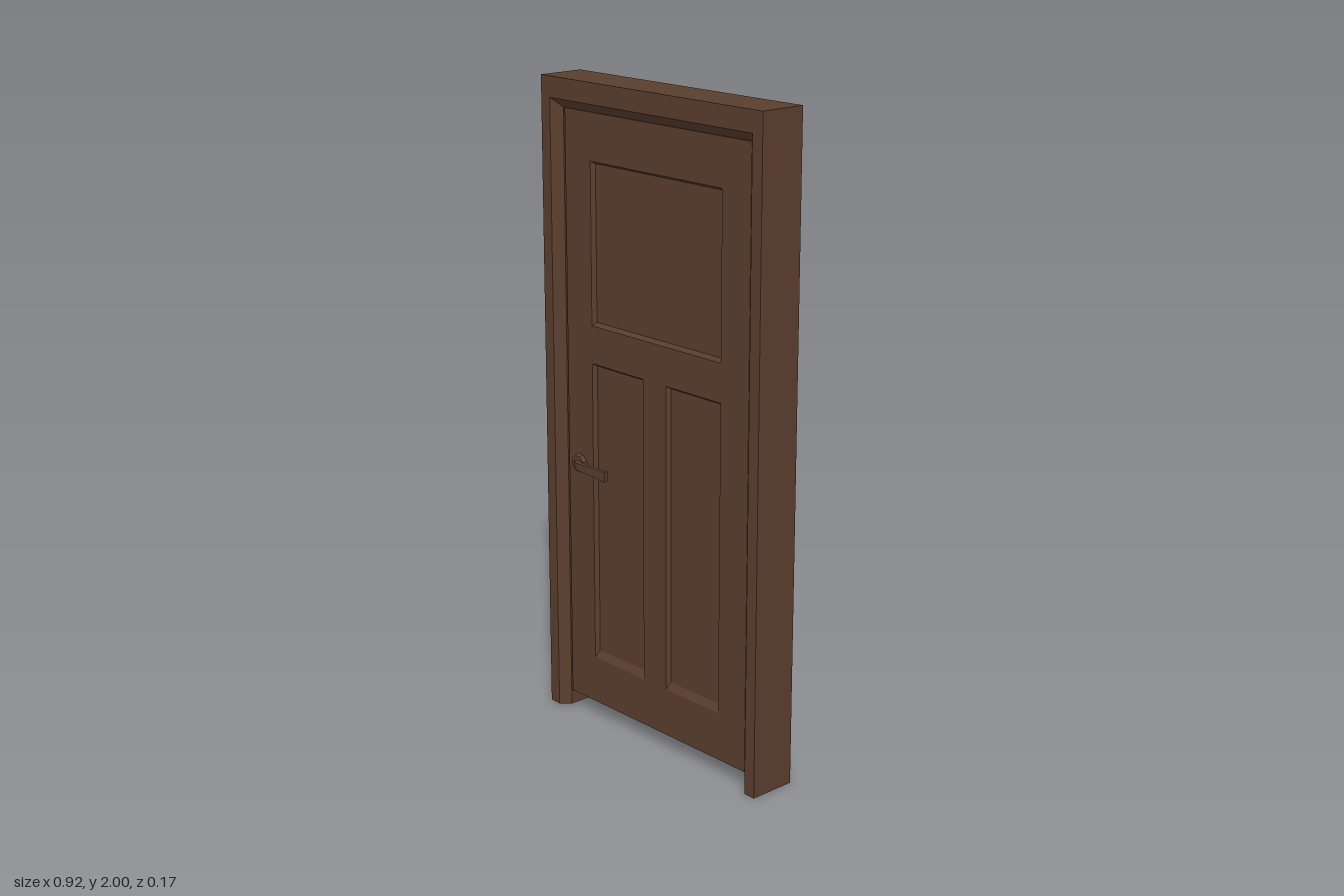
import * as THREE from 'three';

const HALF_W = 0.462, HEIGHT = 2;
const DOOR = { x: 0.391, bottom: 0.05, top: 1.908, z: 0.047 };
const RECESS = 0.013;

// Collects flat quads, corners counter-clockwise as seen from outside
function quadMesh(name, material, quads) {
  const pos = [];
  for (const [a, b, c, d] of quads) pos.push(...a, ...b, ...c, ...a, ...c, ...d);
  const g = new THREE.BufferGeometry();
  g.setAttribute('position', new THREE.Float32BufferAttribute(pos, 3));
  g.computeVertexNormals();
  return named(name, g, material);
}

function named(name, geometry, material) {
  const mesh = new THREE.Mesh(geometry, material);
  mesh.name = name;
  return mesh;
}

// Jambs and lintel: one chamfered profile swept around the opening with mitred corners
function makeFrame(material) {
  const profile = [[0, -0.075], [0, 0.075], [0.039, 0.075], [0.067, 0.047], [0.067, -0.047], [0.039, -0.075]];
  const topY = t => HEIGHT - (t > 0 ? t + 0.024 : 0);
  const rings = [[-1, false], [-1, true], [1, true], [1, false]].map(([side, top]) =>
    profile.map(([t, z]) => [side * (HALF_W - t), top ? topY(t) : 0, z]));
  const quads = [];
  for (let i = 0; i < 3; i++) {
    profile.forEach((_, j) => {
      const k = (j + 1) % profile.length;
      quads.push([rings[i][j], rings[i][k], rings[i + 1][k], rings[i + 1][j]]);
    });
  }
  // Feet of the jambs
  const l = rings[0], r = rings[3];
  quads.push([l[3], l[2], l[1], l[0]], [l[5], l[4], l[3], l[0]]);
  quads.push([r[0], r[1], r[2], r[3]], [r[0], r[3], r[4], r[5]]);
  return quadMesh('doorFrame', material, quads);
}

// One side of the door: rails and stiles with sunken, bevelled panels
function makeFace(name, panels, material) {
  const group = new THREE.Group();
  group.name = name;
  const rect = (Type, x0, y0, x1, y1) => new Type(
    [[x0, y0], [x1, y0], [x1, y1], [x0, y1]].map(p => new THREE.Vector2(...p)));
  const shape = rect(THREE.Shape, -DOOR.x, DOOR.bottom, DOOR.x, DOOR.top);
  const quads = [];
  for (const [x0, y0, x1, y1, sill] of panels) {
    shape.holes.push(rect(THREE.Path, x0, y0, x1, y1));
    const b = 0.008, z = DOOR.z, zi = z - RECESS;
    const outer = [[x0, y0, z], [x1, y0, z], [x1, y1, z], [x0, y1, z]];
    const inner = [[x0 + b, y0 + sill, zi], [x1 - b, y0 + sill, zi], [x1 - b, y1 - b, zi], [x0 + b, y1 - b, zi]];
    quads.push(inner);
    for (let i = 0; i < 4; i++) {
      const k = (i + 1) % 4;
      quads.push([outer[i], outer[k], inner[k], inner[i]]);
    }
  }
  const rails = named('railsAndStiles', new THREE.ShapeGeometry(shape), material);
  rails.position.z = DOOR.z;
  group.add(rails, quadMesh('sunkenPanels', material, quads));
  return group;
}

// Four narrow edges of the door slab
function makeEdges(material) {
  const { x, bottom, top, z } = DOOR;
  const f = [[-x, bottom, z], [x, bottom, z], [x, top, z], [-x, top, z]];
  const back = f.map(p => [p[0], p[1], -z]);
  return quadMesh('doorEdges', material, f.map((_, i) => {
    const k = (i + 1) % 4;
    return [f[k], f[i], back[i], back[k]];
  }));
}

// Octagonal rose and bent lever that widens toward its tip
function makeHandle(name, material) {
  const group = new THREE.Group();
  group.name = name;
  const rose = new THREE.CylinderGeometry(0.026, 0.032, 0.012, 8);
  rose.rotateY(Math.PI / 8);
  rose.rotateX(Math.PI / 2);
  const roseMesh = named('rose', rose.toNonIndexed(), material);
  roseMesh.geometry.computeVertexNormals();
  roseMesh.position.set(-0.339, 0, DOOR.z + 0.006);

  const outline = [[-0.35, 0.047], [-0.328, 0.047], [-0.328, 0.06], [-0.31, 0.067], [-0.24, 0.068], [-0.184, 0.072],
    [-0.184, 0.084], [-0.24, 0.081], [-0.31, 0.081], [-0.325, 0.077], [-0.35, 0.064]];
  const lever = new THREE.ExtrudeGeometry(new THREE.Shape(outline.map(p => new THREE.Vector2(...p))),
    { depth: 2, bevelEnabled: false });
  lever.translate(0, 0, -1);
  lever.rotateX(Math.PI / 2);
  const p = lever.attributes.position;
  for (let i = 0; i < p.count; i++) {
    const along = (p.getX(i) + 0.35) / 0.166;
    p.setY(i, p.getY(i) * (0.01 + 0.006 * along));
  }
  lever.computeVertexNormals();
  group.add(roseMesh, named('lever', lever, material));
  group.position.y = 0.825;
  return group;
}

export function createModel() {
  const wood = new THREE.MeshStandardMaterial({ color: 0x5a3e2e });
  wood.name = 'dark brown wood';

  const model = new THREE.Group();
  model.name = 'panelDoor';
  model.add(makeFrame(wood));

  const lower = [[-0.278, 0.2, -0.05, 1.153, 0.022], [0.05, 0.2, 0.278, 1.153, 0.022]];
  const upperFront = [[-0.278, 1.27, 0.278, 1.765, 0.01]];
  const upperBack = [[-0.278, 1.27, -0.05, 1.765, 0.01], [0.05, 1.27, 0.278, 1.765, 0.01]];

  const door = new THREE.Group();
  door.name = 'door';
  door.position.x = 0.002;
  const back = makeFace('backFace', [...lower, ...upperBack], wood);
  back.rotation.y = Math.PI;
  door.add(makeFace('frontFace', [...lower, ...upperFront], wood), back, makeEdges(wood));

  // Matching handles on both sides
  const backHandle = makeHandle('backHandle', wood);
  backHandle.rotation.x = Math.PI;
  door.add(makeHandle('frontHandle', wood), backHandle);
  model.add(door);
  return model;
}
